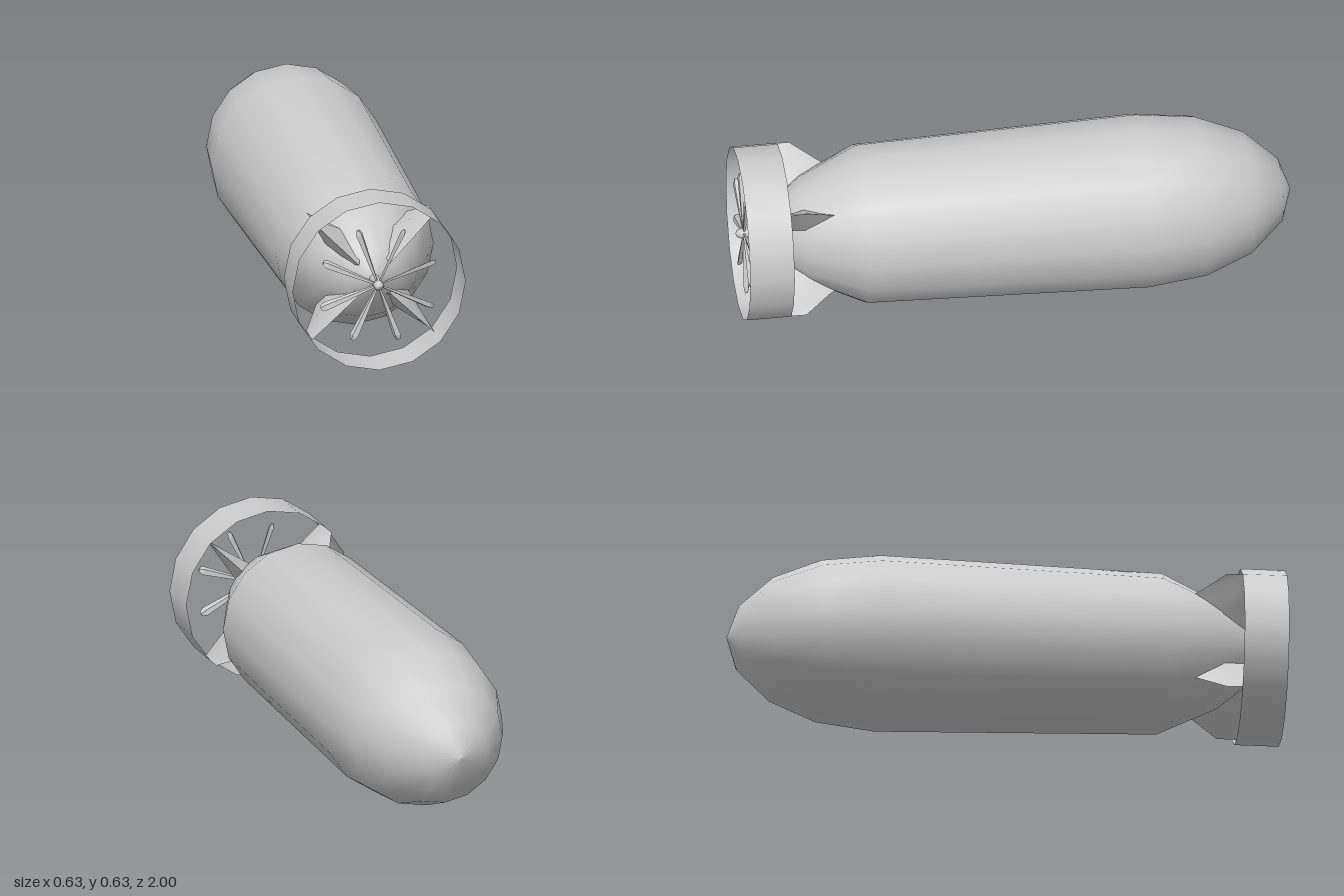
import * as THREE from 'three';
import { toCreasedNormals } from 'three/addons/utils/BufferGeometryUtils.js';

const SIDES = 16;
const RADIUS = 0.315;

// Revolve [radius, z] pairs, ordered by rising z, around the z axis
function revolve(profile, sides) {
  const points = profile.map(([r, z]) => new THREE.Vector2(r, z));
  return new THREE.LatheGeometry(points, sides).rotateX(Math.PI / 2);
}

// Tapered fin: diamond sections [radius, leading z, trailing z, half thickness]
function finGeometry(sections) {
  const positions = [];
  const index = [];
  for (const [r, lead, trail, t] of sections) {
    const mid = lead + (trail - lead) * 0.6;
    positions.push(r, 0, lead, r, t, mid, r, 0, trail, r, -t, mid);
  }
  for (let i = 0; i < sections.length - 1; i++) {
    for (let j = 0; j < 4; j++) {
      const a = i * 4 + j;
      const b = i * 4 + (j + 1) % 4;
      index.push(a, b, b + 4, a, b + 4, a + 4);
    }
  }
  const geometry = new THREE.BufferGeometry();
  geometry.setAttribute('position', new THREE.Float32BufferAttribute(positions, 3));
  geometry.setIndex(index);
  return toCreasedNormals(geometry, 0.6);
}

export function createModel() {
  const model = new THREE.Group();
  model.name = 'finnedCapsule';
  const smooth = new THREE.MeshStandardMaterial({ color: 0xcccccc });
  const faceted = new THREE.MeshStandardMaterial({ color: 0xcccccc, flatShading: true });
  const thin = new THREE.MeshStandardMaterial({ color: 0xcccccc, side: THREE.DoubleSide });

  function add(parent, name, geometry, material) {
    const mesh = new THREE.Mesh(geometry, material);
    mesh.name = name;
    parent.add(mesh);
    return mesh;
  }

  // Long rounded hull with its nose towards -z and a tapering tail
  const hull = [
    [0, -1], [0.115, -0.96], [0.222, -0.84], [0.29, -0.67], [RADIUS, -0.46],
    [0.288, 0.55], [0.19, 0.76], [0.1, 0.87], [0, 0.91],
  ];
  add(model, 'hull', revolve(hull, SIDES), smooth);

  // Thin open ring around the tail
  add(model, 'tailRing', revolve([[RADIUS, 0.83], [RADIUS, 0.99]], SIDES), thin);

  // Four diagonal fins, thick at the root and sharp at the ring
  const fin = finGeometry([
    [0.08, 0.5, 0.91, 0.06],
    [0.16, 0.55, 0.9, 0.042],
    [0.25, 0.69, 0.89, 0.018],
    [0.314, 0.775, 0.88, 0.002],
  ]);
  const fins = new THREE.Group();
  fins.name = 'fins';
  model.add(fins);
  for (let i = 0; i < 4; i++) {
    add(fins, 'fin', fin, smooth).rotation.z = Math.PI / 4 + i * Math.PI / 2;
  }

  // Propeller: shaft with a domed end and eight slim ridged blades
  const propeller = new THREE.Group();
  propeller.name = 'propeller';
  model.add(propeller);
  const shaft = [[0.018, 0.88], [0.018, 0.982], [0.013, 0.994], [0, 1]];
  add(propeller, 'hub', revolve(shaft, 10), smooth);

  const bladeProfile = [[0, 0.008], [0.005, 0.01], [0.017, 0.205], [0.009, 0.222], [0, 0.222]];
  const blade = new THREE.LatheGeometry(
    bladeProfile.map(([r, y]) => new THREE.Vector2(r, y)), 4
  ).scale(1, 1, 0.6).rotateY(0.7);
  for (let i = 0; i < 8; i++) {
    const mesh = add(propeller, 'blade', blade, faceted);
    mesh.position.z = 0.97;
    mesh.rotation.z = THREE.MathUtils.degToRad(19.5 + i * 45 - 90);
  }

  for (const part of model.children) part.position.y = RADIUS;
  return model;
}
